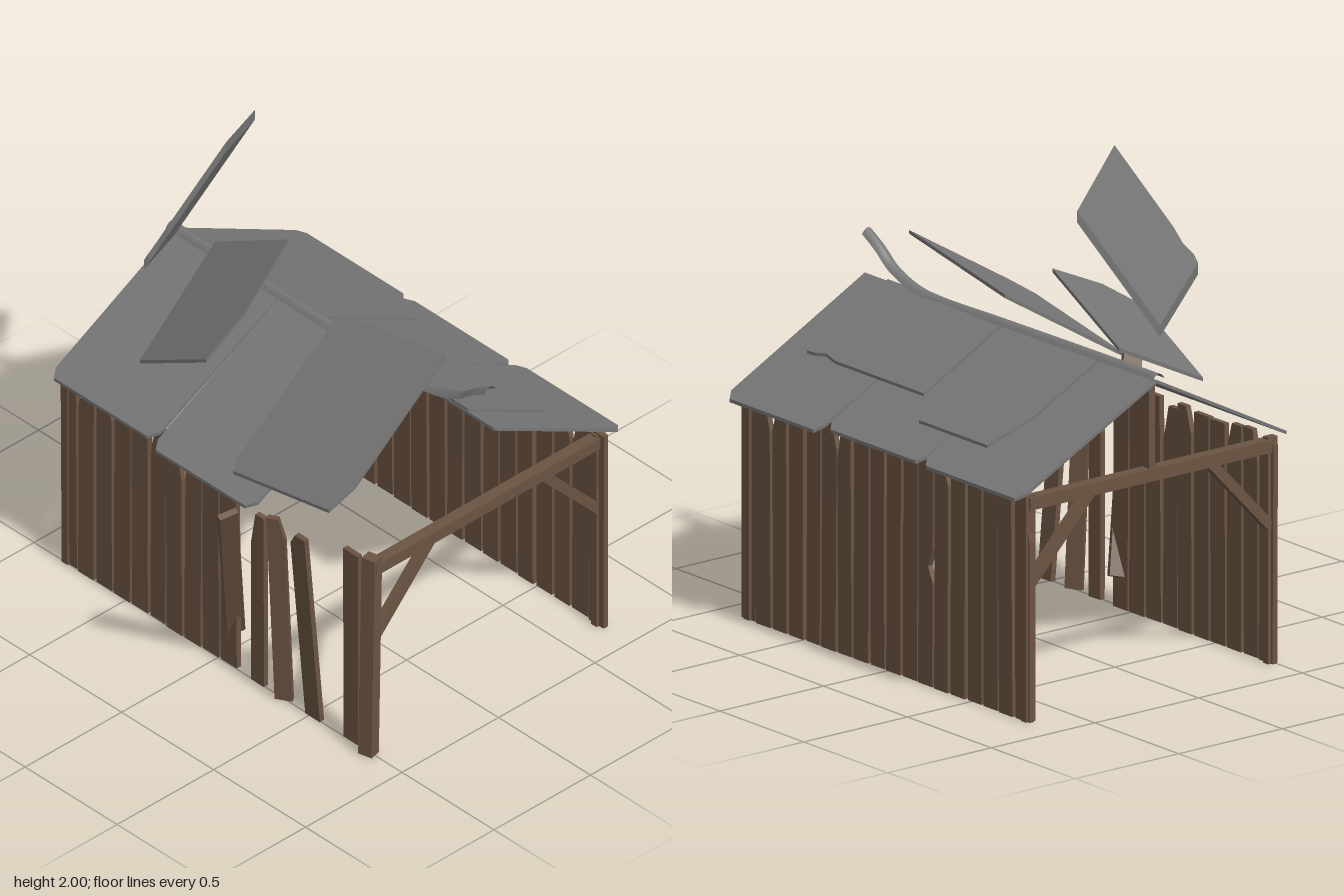
import * as THREE from 'three';

const wood = new THREE.MeshStandardMaterial({ color: 0x6b5442, flatShading: true });
const metal = new THREE.MeshStandardMaterial({ color: 0x777777, flatShading: true });
const metalThin = new THREE.MeshStandardMaterial({ color: 0x777777, side: THREE.DoubleSide });

// small seeded random in -1..1
function seeded(seed) {
  return () => {
    seed = (seed * 16807) % 2147483647;
    return (seed / 2147483647) * 2 - 1;
  };
}

function add(group, name, geometry, material) {
  const mesh = new THREE.Mesh(geometry, material);
  mesh.name = name;
  group.add(mesh);
  return mesh;
}

// square timber from a to b
function timber(group, name, a, b, w, h) {
  const from = new THREE.Vector3(...a), to = new THREE.Vector3(...b);
  const mesh = add(group, name, new THREE.BoxGeometry(w, h, from.distanceTo(to)), wood);
  mesh.position.copy(from).add(to).multiplyScalar(0.5);
  mesh.lookAt(to);
  return mesh;
}

// upright board, standing at (x, z), wide along z; chip cuts a bite from one edge
function board(group, name, x, z, w, h, { lean = 0, tilt = 0, turn = 0, cut = 0, chip = 0 } = {}) {
  const s = w / 2;
  const outline = [[-s, 0], [s, 0]];
  if (chip) outline.push([s, chip - 0.06], [s - 0.028, chip], [s, chip + 0.07]);
  if (cut > 0) outline.push([s, h - cut], [s * 0.3, h]);
  else outline.push([s, h]);
  if (cut < 0) outline.push([-s * 0.3, h], [-s, h + cut]);
  else outline.push([-s, h]);
  const geometry = new THREE.ExtrudeGeometry(
    new THREE.Shape(outline.map(p => new THREE.Vector2(...p))),
    { depth: 0.022, bevelEnabled: false });
  geometry.translate(0, 0, -0.011).rotateY(Math.PI / 2);
  const mesh = add(group, name, geometry, wood);
  mesh.position.set(x, 0, z);
  mesh.rotation.set(tilt, turn, lean);
  return mesh;
}

// flat sheet: plan outline in (x, z), lifted onto the plane through p with slopes a (x) and b (z)
function sheet(group, name, outline, p, a, b = 0, thickness = 0.012) {
  const depth = thickness * Math.hypot(1, a, b);
  const geometry = new THREE.ExtrudeGeometry(
    new THREE.Shape(outline.map(([x, z]) => new THREE.Vector2(x, -z))),
    { depth, bevelEnabled: false });
  geometry.rotateX(-Math.PI / 2).translate(0, -depth, 0);
  const pos = geometry.attributes.position;
  for (let i = 0; i < pos.count; i++) {
    pos.setY(i, pos.getY(i) + p[1] + a * (pos.getX(i) - p[0]) + b * (pos.getZ(i) - p[2]));
  }
  geometry.computeVertexNormals();
  return add(group, name, geometry, metal);
}

// roof sheet outline from the ridge to the eave with clipped eave corners
function eaveOutline(ridge, eave, zBack, zFront, clip = 0.035) {
  const inner = eave - Math.sign(eave - ridge) * clip;
  const points = [[ridge, zFront], [inner, zFront], [eave, zFront - clip],
    [eave, zBack + clip], [inner, zBack + clip * 0.3], [ridge, zBack]];
  return eave > ridge ? points : points.reverse();
}

function buildWalls() {
  const walls = new THREE.Group();
  walls.name = 'walls';
  const rnd = seeded(41);
  const chips = { 11: 0.47 };
  const cuts = { 1: 0.12, 2: -0.1, 5: 0.1, 6: -0.14, 12: 0.08, 17: 0.18 };
  for (let i = 0; i < 18; i++) {
    const z = 0.828 - i * 0.0963;
    // complete right wall
    board(walls, 'rightWallBoard', 0.685 + rnd() * 0.004, z, 0.083 + rnd() * 0.005, 0.89 + rnd() * 0.008,
      { tilt: rnd() * 0.006, lean: rnd() * 0.004, cut: cuts[i] || 0, chip: chips[i] || 0 });
    // left wall survives toward the back
    if (z < 0.12) {
      board(walls, 'leftWallBoard', -0.492 + rnd() * 0.004, z, 0.083 + rnd() * 0.005, 0.88 + rnd() * 0.02,
        { tilt: rnd() * 0.006, lean: rnd() * 0.004, cut: cuts[17 - i] || 0 });
    }
  }
  // loose boards at the front of the left wall
  board(walls, 'looseBoard', -0.492, 0.725, 0.08, 0.89, { lean: 0.012, tilt: 0.01 });
  board(walls, 'looseBoard', -0.495, 0.52, 0.08, 0.9, { lean: 0.1, tilt: 0.01, cut: 0.05 });
  board(walls, 'looseBoard', -0.5, 0.36, 0.07, 0.88, { lean: 0.07, tilt: -0.02, turn: 0.5, cut: -0.1 });
  board(walls, 'looseBoard', -0.495, 0.22, 0.07, 0.8, { lean: 0.02, tilt: 0.02, cut: 0.15 });
  const fallen = timber(walls, 'fallenBoard', [-0.46, 0.13, 0.05], [-0.75, 0.965, 0.315], 0.075, 0.025);
  fallen.rotateZ(0.5);
  return walls;
}

function buildFrame() {
  const frame = new THREE.Group();
  frame.name = 'frame';
  for (const z of [0.828, -0.825]) {
    timber(frame, 'tieBeam', [-0.49, 0.857, z], [0.69, 0.857, z], 0.05, 0.05);
    timber(frame, 'brace', [-0.485, 0.535, z], [-0.195, 0.84, z], 0.035, 0.04);
    timber(frame, 'brace', [0.68, 0.535, z], [0.39, 0.84, z], 0.035, 0.04);
    timber(frame, 'rightPost', [0.68, 0, z], [0.68, 0.89, z], 0.045, 0.032);
  }
  timber(frame, 'backLeftPost', [-0.487, 0, -0.825], [-0.487, 0.89, -0.825], 0.045, 0.032);
  timber(frame, 'frontLeftPost', [-0.507, 0, 0.825], [-0.485, 0.9, 0.82], 0.06, 0.05);
  timber(frame, 'kingPost', [0.095, 0.87, -0.825], [0.095, 1.225, -0.825], 0.03, 0.03);
  return frame;
}

function buildRoof() {
  const roof = new THREE.Group();
  roof.name = 'roof';
  const top = [0.095, 1.235, 0];

  // right slope: three sheets and two patches
  sheet(roof, 'rightRoofSheet', eaveOutline(0.095, 0.775, 0.305, 0.873), top, -0.522);
  sheet(roof, 'rightRoofSheet', eaveOutline(0.095, 0.75, -0.275, 0.303), top, -0.522);
  sheet(roof, 'rightRoofSheet', eaveOutline(0.095, 0.755, -0.87, -0.272), top, -0.522);
  const patchTop = [0.095, 1.247, 0];
  sheet(roof, 'frontPatch', [[0.1, 0.73], [0.49, 0.73], [0.487, 0.68], [0.475, 0.635],
    [0.49, 0.56], [0.49, 0.035], [0.1, 0.035]], patchTop, -0.522);
  sheet(roof, 'backPatch', [[0.1, -0.075], [0.6, -0.075], [0.6, -0.48], [0.42, -0.54],
    [0.1, -0.54]], patchTop, -0.522);

  // left slope: the front sheet is missing
  sheet(roof, 'leftRoofSheet', eaveOutline(0.095, -0.565, -0.86, -0.285), top, 0.515);
  sheet(roof, 'leftRoofSheet', eaveOutline(0.095, -0.59, -0.28, 0.275), top, 0.515);

  // sheets torn loose by the wind
  sheet(roof, 'looseFrontSheet', [[0.08, 0.055], [-0.51, 0.115], [-0.555, 0.14], [-0.56, 0.665],
    [-0.45, 0.695], [0.075, 0.635]].reverse(), [0.08, 1.46, 0.64], 0.61, 0.2);
  sheet(roof, 'looseBackSheet', [[0.085, -0.63], [-0.41, -0.52], [-0.41, -0.16], [-0.22, -0.155],
    [0.09, -0.24]].reverse(), [0.09, 1.52, -0.24], 0.61, 0.55);
  sheet(roof, 'flyingSheet', [[-0.1, -0.375], [0.25, -0.585], [-0.037, -0.725], [-0.385, -0.522],
    [-0.375, -0.508], [-0.33, -0.5], [-0.305, -0.477]], [-0.1, 2, -0.375], 0.726, 1.879, 0.02);

  // ridge cap, peeled up at the front
  const path = new THREE.CatmullRomCurve3([[1.25, -0.88], [1.247, -0.4], [1.242, 0.1], [1.238, 0.42],
    [1.25, 0.56], [1.3, 0.7], [1.36, 0.78], [1.405, 0.855]].map(([y, z]) => new THREE.Vector3(0.095, y, z)));
  const cap = new THREE.PlaneGeometry(1, 1, 8, 36);
  const pos = cap.attributes.position;
  for (let i = 0; i < pos.count; i++) {
    const u = pos.getX(i) * 2;
    const c = path.getPoint(0.5 - pos.getY(i));
    pos.setXYZ(i, c.x + u * 0.028, c.y + 0.012 - 0.022 * u * u, c.z);
  }
  cap.computeVertexNormals();
  add(roof, 'ridgeCap', cap, metalThin);
  return roof;
}

export function createModel() {
  const model = new THREE.Group();
  model.name = 'ruinedShed';
  model.add(buildWalls(), buildFrame(), buildRoof());
  return model;
}
